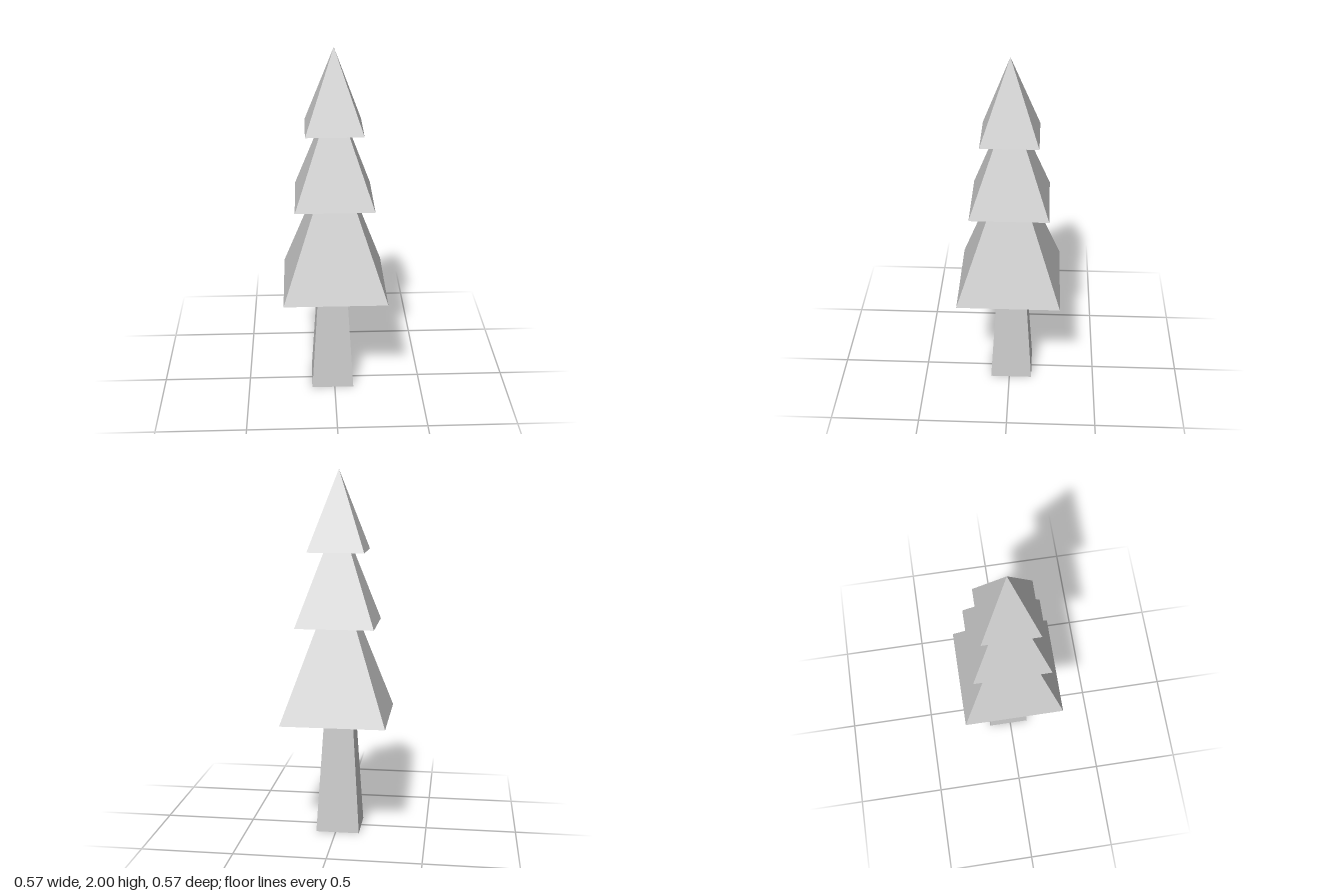
import * as THREE from 'three';

const barkAndLeaf = new THREE.MeshStandardMaterial({ color: 0xcccccc, flatShading: true });
barkAndLeaf.name = 'plainGrey';

// Four-sided tapered block; half-widths are measured to the flat sides
function taperedBlock(name, halfTop, halfBottom, yBottom, yTop, offset) {
  const height = yTop - yBottom;
  const geometry = new THREE.CylinderGeometry(
    halfTop * Math.SQRT2, halfBottom * Math.SQRT2, height, 4, 1, false, Math.PI / 4
  );
  const mesh = new THREE.Mesh(geometry, barkAndLeaf);
  mesh.name = name;
  mesh.position.set(offset, yBottom + height / 2, offset);
  return mesh;
}

export function createModel() {
  const tree = new THREE.Group();
  tree.name = 'pineTree';

  // Trunk, slightly off centre and running up into the lowest branches
  tree.add(taperedBlock('trunk', 0.079, 0.12, 0, 0.65, -0.011));

  // Stacked foliage pyramids: half-width, base height, tip height, offset
  const tiers = [
    ['lowerFoliage', 0.285, 0.645, 1.465, 0],
    ['middleFoliage', 0.213, 1.165, 1.77, -0.002],
    ['upperFoliage', 0.154, 1.565, 2, -0.002],
  ];
  for (const [name, half, base, tip, offset] of tiers) {
    tree.add(taperedBlock(name, 0, half, base, tip, offset));
  }

  return tree;
}
